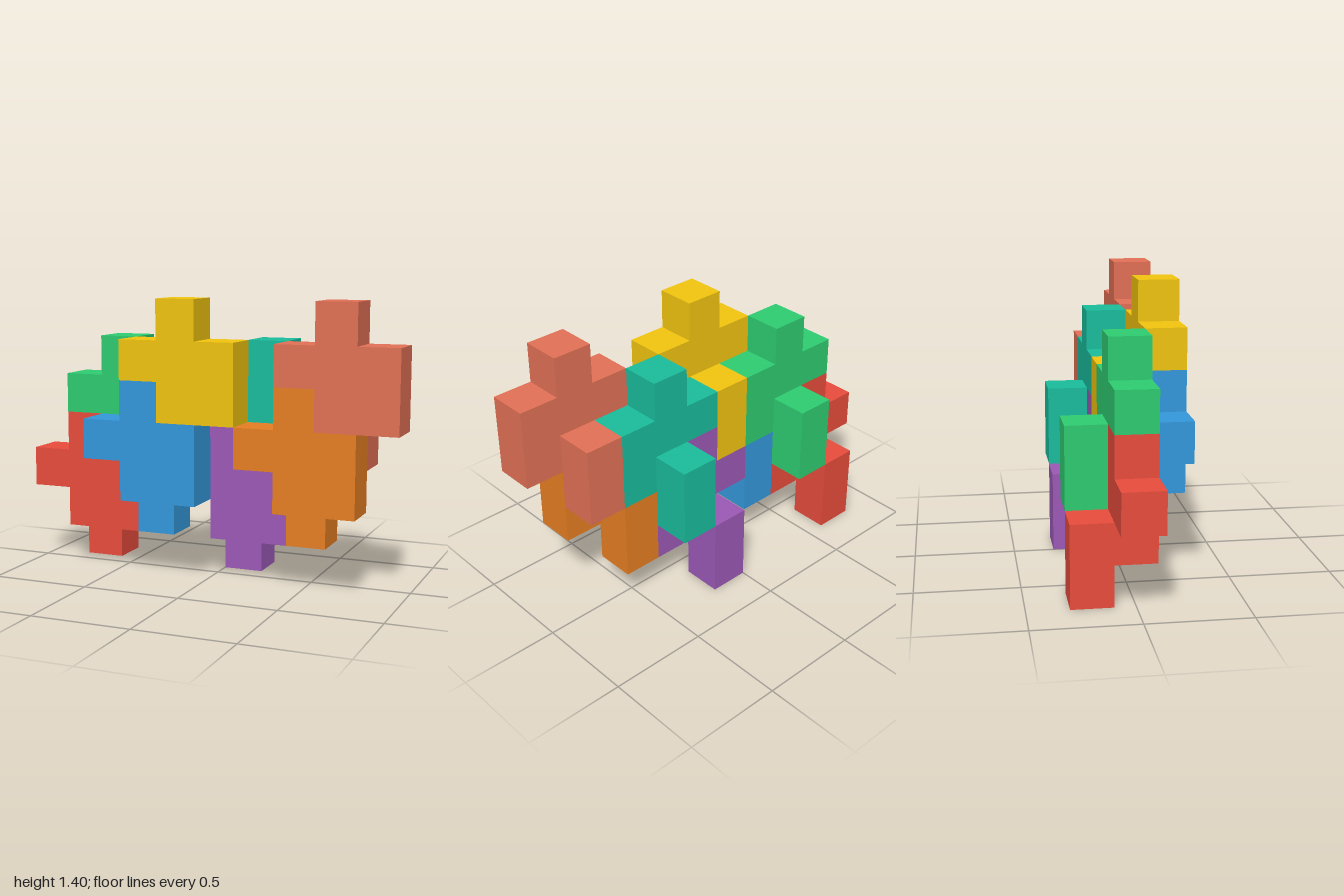
import * as THREE from 'three';

const U = 0.2; // edge of one cube cell

// Outline of a piece's flat body, in cells around its centre cell
const OUTLINE = [
  [-0.5, -1.5], [1.5, -1.5], [1.5, 0.5], [0.5, 0.5], [0.5, 1.5],
  [-0.5, 1.5], [-0.5, 0.5], [-1.5, 0.5], [-1.5, -0.5], [-0.5, -0.5],
];

// name, colour, centre cell column, row, layer (1 = front, 0 = middle)
const PIECES = [
  ['yellowPiece', 0xf1c40f, 4, 5, 1],
  ['bluePiece', 0x3498db, 3, 3, 1],
  ['salmonPiece', 0xe17055, 8, 5, 1],
  ['orangePiece', 0xe67e22, 7, 3, 1],
  ['greenPiece', 0x2ecc71, 2, 4, 0],
  ['redPiece', 0xe74c3c, 1, 2, 0],
  ['tealPiece', 0x1abc9c, 6, 4, 0],
  ['purplePiece', 0x9b59b6, 5, 2, 0],
];

export function createModel() {
  const model = new THREE.Group();
  model.name = 'interlockingPieces';

  // Six-cell body, one cell thick
  const shape = new THREE.Shape(OUTLINE.map(([x, y]) => new THREE.Vector2(x * U, y * U)));
  const bodyGeometry = new THREE.ExtrudeGeometry(shape, { depth: U, bevelEnabled: false });
  bodyGeometry.translate(0, 0, -U / 2);

  // Two-cell peg behind the body, hanging one cell below it
  const pegGeometry = new THREE.BoxGeometry(U, 2 * U, U);
  pegGeometry.translate(0, -1.5 * U, -U);

  for (const [name, color, column, row, layer] of PIECES) {
    const material = new THREE.MeshStandardMaterial({ color });
    const piece = new THREE.Group();
    piece.name = name;
    const body = new THREE.Mesh(bodyGeometry, material);
    body.name = 'body';
    const peg = new THREE.Mesh(pegGeometry, material);
    peg.name = 'peg';
    piece.add(body, peg);
    piece.position.set((column - 4.5) * U, (row + 0.5) * U, layer * U);
    model.add(piece);
  }
  return model;
}
